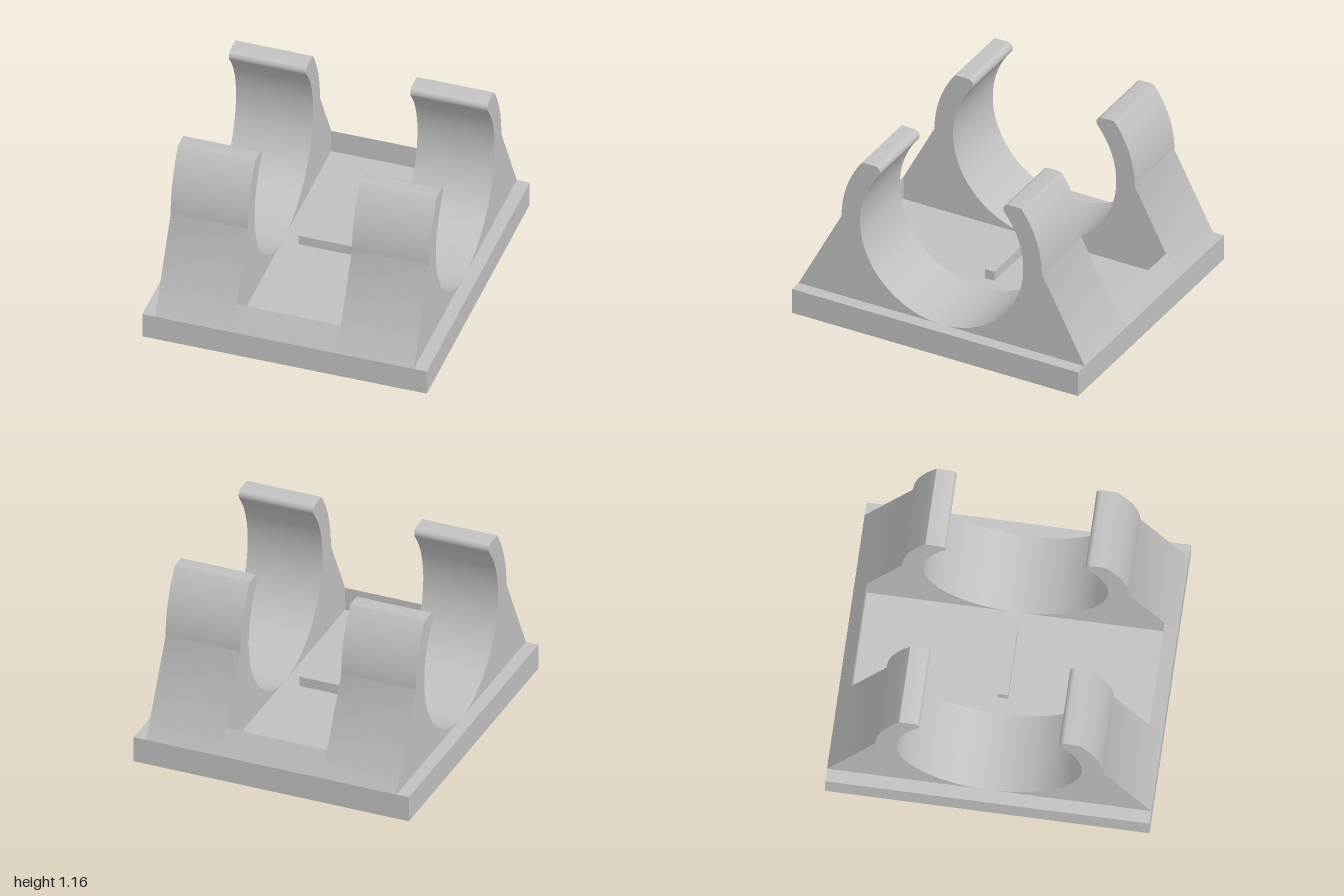
import * as THREE from 'three';
import { toCreasedNormals } from 'three/addons/utils/BufferGeometryUtils.js';

const BASE_TOP = 0.17, CENTRE_Y = 0.74, INNER_R = 0.57, OUTER_R = 0.7;
const TOP_Y = 1.165, TIP_R = 0.038, GAP = 0.335, CLIP_OUT = 0.832;

// One arm of the clip in (z, y): sloped foot, curved arm, rounded tip, bore.
function armProfile() {
  const s = new THREE.Shape();
  const tipY = TOP_Y - TIP_R;
  const tipZ = Math.sqrt((INNER_R + TIP_R) ** 2 - (tipY - CENTRE_Y) ** 2);
  const tipAngle = Math.atan2(tipY - CENTRE_Y, tipZ);
  s.moveTo(1, BASE_TOP);
  s.lineTo(OUTER_R, CENTRE_Y);
  s.absarc(0, CENTRE_Y, OUTER_R, 0, Math.asin((TOP_Y - CENTRE_Y) / OUTER_R), false);
  s.lineTo(tipZ, TOP_Y);
  s.absarc(tipZ, tipY, TIP_R, Math.PI / 2, tipAngle + Math.PI, false);
  s.absarc(0, CENTRE_Y, INNER_R, tipAngle, -Math.PI / 2, true);
  s.closePath();
  return s;
}

// Extrude a profile along x, centred on its own width.
function extrude(shape, width) {
  const g = new THREE.ExtrudeGeometry(shape, { depth: width, bevelEnabled: false, curveSegments: 40 });
  g.translate(0, 0, -width / 2);
  return toCreasedNormals(g, 0.52);
}

export function createModel() {
  const model = new THREE.Group();
  const grey = new THREE.MeshStandardMaterial({ color: 0xc0c0c0 });
  grey.name = 'grey plastic';
  const add = (name, geometry, x = 0, y = 0, z = 0) => {
    const mesh = new THREE.Mesh(geometry, grey);
    mesh.name = name;
    mesh.position.set(x, y, z);
    model.add(mesh);
    return mesh;
  };

  // Base plate over a rim that leaves the underside hollow
  const halfX = 0.915, rim = 0.085, recess = 0.08;
  add('basePlate', new THREE.BoxGeometry(halfX * 2, BASE_TOP - recess, 2), 0, (BASE_TOP + recess) / 2, 0);
  const rectangle = (Type, hx, hz) => new Type([
    new THREE.Vector2(-hx, -hz), new THREE.Vector2(hx, -hz),
    new THREE.Vector2(hx, hz), new THREE.Vector2(-hx, hz),
  ]);
  const rimShape = rectangle(THREE.Shape, halfX, 1);
  rimShape.holes.push(rectangle(THREE.Path, halfX - rim, 1 - rim));
  const rimGeometry = new THREE.ExtrudeGeometry(rimShape, { depth: recess, bevelEnabled: false });
  rimGeometry.rotateX(-Math.PI / 2);
  add('baseRim', rimGeometry);

  // Four clip arms and the two sloped lips joining them
  const arm = extrude(armProfile(), CLIP_OUT - GAP);
  const lip = extrude(new THREE.Shape([
    new THREE.Vector2(1, BASE_TOP), new THREE.Vector2(0.918, 0.326), new THREE.Vector2(0.918, BASE_TOP),
  ]), GAP * 2);
  for (const [end, turn] of [['front', -Math.PI / 2], ['back', Math.PI / 2]]) {
    for (const [side, sign] of [['Left', 1], ['Right', -1]]) {
      add(`${end}${side}Arm`, arm, sign * (GAP + CLIP_OUT) / 2).rotation.y = turn;
    }
    add(`${end}Lip`, lip).rotation.y = turn;
  }

  // Small locating bar in the middle of the floor
  add('locatingBar', new THREE.BoxGeometry(0.46, 0.065, 0.065), 0, BASE_TOP + 0.0325, 0);

  return model;
}
